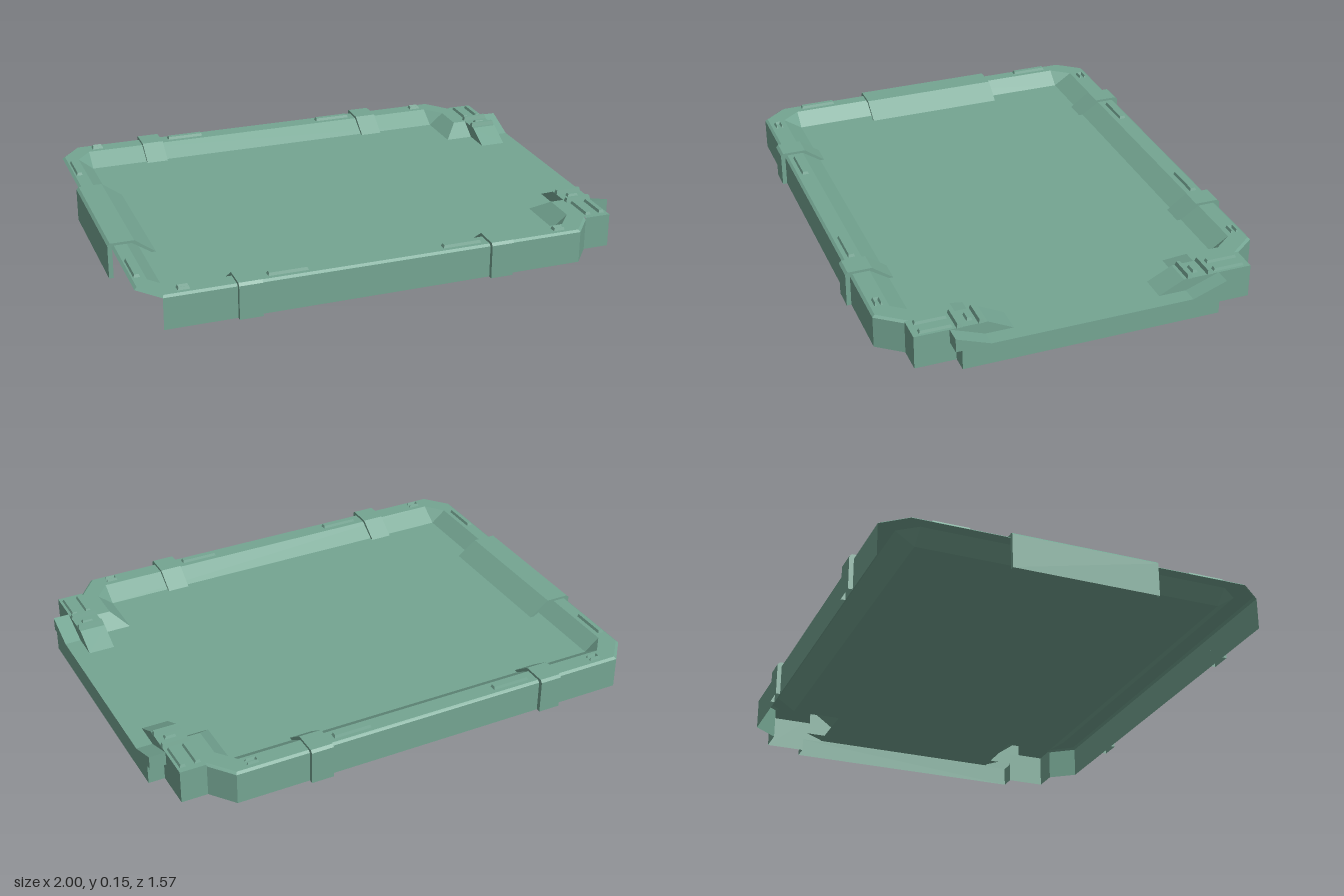
import * as THREE from 'three';

const RIM = 0.135, EDGE = 0.127, FLOOR = 0.085;
const material = new THREE.MeshStandardMaterial({ color: 0x74a592, flatShading: true, side: THREE.DoubleSide });

// Sheet made of convex polygons, each a list of [x, y, z] corners
function sheet(name, polygons) {
  const pos = [];
  for (const p of polygons)
    for (let i = 1; i < p.length - 1; i++) pos.push(...p[0], ...p[i], ...p[i + 1]);
  const geo = new THREE.BufferGeometry();
  geo.setAttribute('position', new THREE.Float32BufferAttribute(pos, 3));
  geo.computeVertexNormals();
  const mesh = new THREE.Mesh(geo, material);
  mesh.name = name;
  return mesh;
}

// Quads joining two lines of points
const loft = (a, b) => a.slice(1).map((_, i) => [a[i], a[i + 1], b[i + 1], b[i]]);
const at = (line, y) => line.map(([x, z]) => [x, y, z]);

// Small raised bar with a tapered top
function bar(name, x, z, w, d, y0 = RIM, y1 = 0.146) {
  const geo = new THREE.BoxGeometry(w, y1 - y0, d);
  const p = geo.attributes.position;
  for (let i = 0; i < p.count; i++) {
    if (p.getY(i) < 0) continue;
    p.setX(i, p.getX(i) - Math.sign(p.getX(i)) * 0.004);
    p.setZ(i, p.getZ(i) - Math.sign(p.getZ(i)) * 0.004);
  }
  const mesh = new THREE.Mesh(geo, material);
  mesh.name = name;
  mesh.position.set(x, (y0 + y1) / 2, z);
  return mesh;
}

// Strap folded over the rim; u is the distance outward, v runs along the edge
function strap(name, width, place) {
  const outer = [[0.785, 0], [0.785, 0.135], [0.775, 0.145], [0.68, 0.145], [0.598, FLOOR]];
  const inner = [[0.767, 0], [0.767, EDGE], [0.757, RIM], [0.69, RIM], [0.615, FLOOR]];
  const line = (l, v) => l.map(([u, y]) => place(u, y, v));
  const a = -width / 2, b = width / 2;
  return sheet(name, [
    ...loft(line(outer, a), line(outer, b)),
    ...loft(line(outer, a), line(inner, a)),
    ...loft(line(outer, b), line(inner, b)),
  ]);
}

// One half of the tray, on the +z side
function buildHalf() {
  const half = new THREE.Group();
  const outer = [[-0.985, 0], [-0.985, 0.67], [-0.905, 0.767], [0.755, 0.767], [0.83, 0.67], [0.83, 0.48]];
  const inset = [[-0.975, 0], [-0.975, 0.665], [-0.9, 0.757], [0.75, 0.757], [0.83, 0.655], [0.83, 0.48]];
  const lip = [[-0.925, 0], [-0.925, 0.615], [-0.865, 0.69], [0.715, 0.69], [0.775, 0.615], [0.775, 0.48], [0.83, 0.48]];
  const foot = [[-0.865, 0], [-0.865, 0.615], [-0.865, 0.615], [0.715, 0.615], [0.715, 0.615], [0.715, 0.41], [0.83, 0.41]];

  half.add(sheet('rim', [
    ...loft(at(outer.slice(0, 5), EDGE), at(inset.slice(0, 5), RIM)),
    ...loft(at(inset, RIM), at(lip.slice(0, 6), RIM)),
  ]));
  half.add(sheet('innerSlope', loft(at(lip, RIM), at(foot, FLOOR))));

  // Side wall and the wall round the corner block
  const side = outer.slice(2, 5);
  const corner = [[0.83, 0.67], [0.935, 0.67], [0.935, 0.51]];
  half.add(sheet('outerWall', [
    ...loft(at(side, 0), at(side, EDGE)),
    ...loft(at(corner, 0), at(corner, RIM)),
  ]));

  // Corner block with its ramp down to the floor
  const top = x => [[x, RIM, 0.67], [x, RIM, 0.39], [x, FLOOR, 0.29]];
  half.add(sheet('cornerBlock', [
    ...loft(top(0.83), top(0.935)),
    ...[0.83, 0.935].map(x => [[x, RIM, 0.51], [x, RIM, 0.39], [x, FLOOR, 0.29], [x, FLOOR, 0.51]]),
  ]));

  // Stepped end ramp
  const ramp = x => [[x, FLOOR, 0.4], [x, RIM, 0.535], [x, 0.08, 0.535], [x, 0.08, 0.51], [x, 0, 0.51]];
  half.add(sheet('endRamp', [
    ...loft(ramp(0.935), ramp(1)),
    [[1, FLOOR, 0.4], [1, RIM, 0.535], [1, 0.08, 0.535], [1, 0.08, 0.4]],
  ]));

  for (const x of [-0.583, 0.417])
    half.add(strap('strap', 0.09, (u, y, v) => [x + v, y, u]));

  // Raised bars along the rim
  for (const x of [-0.426, 0.268]) half.add(bar('rimBar', x, 0.726, 0.155, 0.028));
  half.add(bar('sideBar', -0.956, 0.513, 0.025, 0.15));

  // Small open brackets
  for (const x of [-0.82, 0.677]) {
    for (const dz of [-0.011, 0.011]) half.add(bar('bracketArm', x, 0.726 + dz, 0.046, 0.009));
    half.add(bar('bracketBack', x - 0.019, 0.726, 0.009, 0.03));
  }

  // Fittings on the corner block
  for (const x of [0.853, 0.912]) half.add(bar('blockBar', x, 0.583, 0.024, 0.125));
  for (const z of [0.498, 0.414]) half.add(bar('crossBar', 0.883, z, 0.108, 0.022, RIM, 0.151));
  half.add(bar('blockStud', 0.884, 0.45, 0.046, 0.022));
  return half;
}

export function createModel() {
  const model = new THREE.Group();
  model.name = 'tray';

  model.add(sheet('floor', [
    [[-0.865, FLOOR, -0.615], [-0.865, FLOOR, 0.615], [0.715, FLOOR, 0.615], [0.715, FLOOR, -0.615]],
    [[0.715, FLOOR, -0.41], [0.715, FLOOR, 0.41], [1, FLOOR, 0.41], [1, FLOOR, -0.41]],
  ]));
  model.add(sheet('endWall', [
    [[1, 0, 0.51], [1, 0, -0.51], [1, 0.08, -0.51], [1, 0.08, 0.51]],
    [[1, 0.08, 0.4], [1, 0.08, -0.4], [1, FLOOR, -0.4], [1, FLOOR, 0.4]],
  ]));
  // Wide strap in the middle of the open side
  model.add(strap('endPanel', 0.585, (u, y, v) => [-0.215 - u, y, v]));

  // Two mirrored halves
  for (const s of [1, -1]) {
    const half = buildHalf();
    half.name = s > 0 ? 'frontHalf' : 'backHalf';
    half.scale.z = s;
    model.add(half);
  }
  return model;
}
